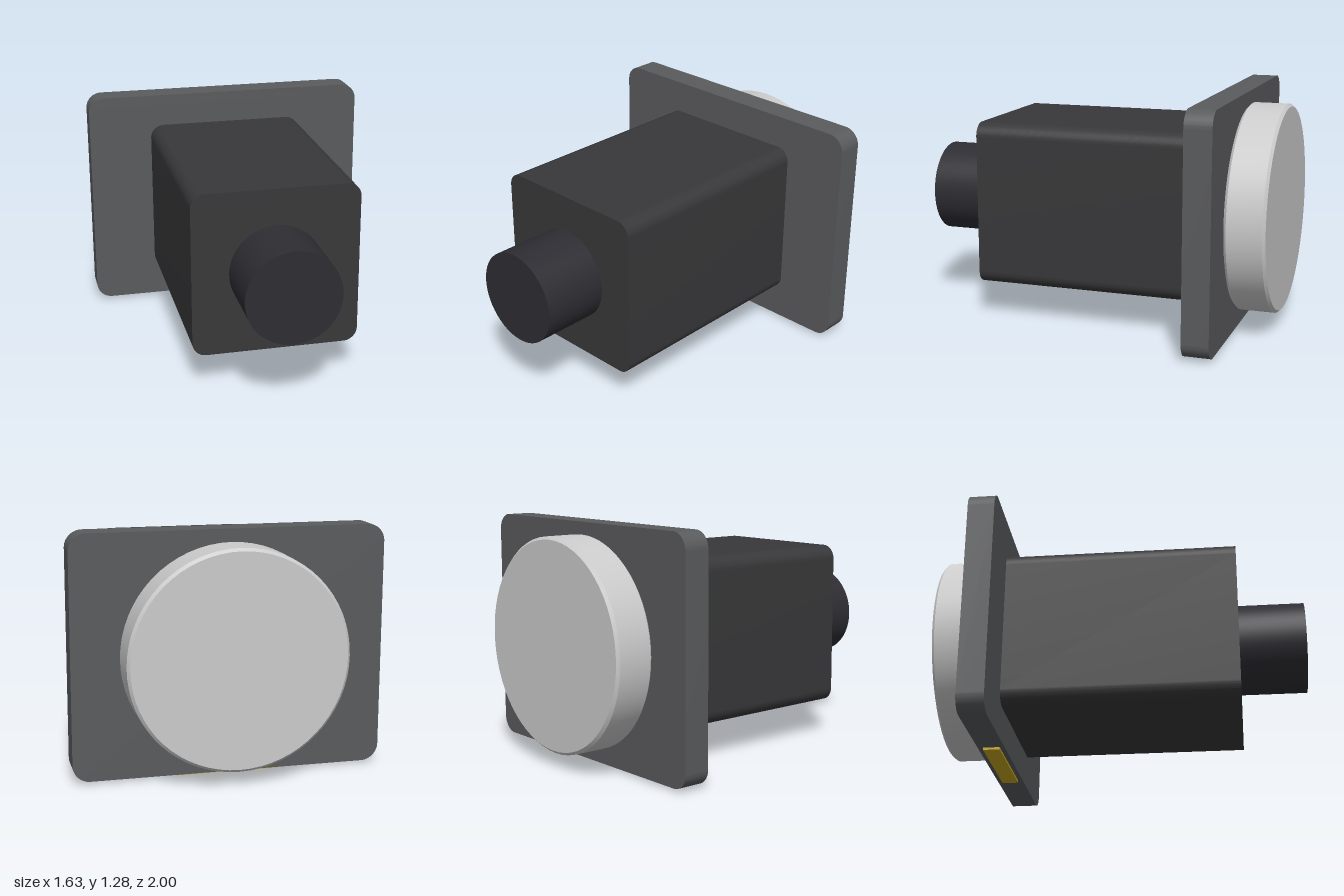
import * as THREE from 'three';
import { toCreasedNormals } from 'three/addons/utils/BufferGeometryUtils.js';

const AXIS_Y = 0.648; // height of the common axis

function part(name, geometry, color) {
  const mesh = new THREE.Mesh(
    toCreasedNormals(geometry, 0.6),
    new THREE.MeshStandardMaterial({ color })
  );
  mesh.name = name;
  return mesh;
}

// Rounded rectangle centred on the axis, extruded from z0 to z1
function roundedSlab(w, h, r, z0, z1) {
  const x = w / 2 - r, y = h / 2 - r;
  const shape = new THREE.Shape();
  shape.absarc(x, y, r, 0, Math.PI / 2);
  shape.absarc(-x, y, r, Math.PI / 2, Math.PI);
  shape.absarc(-x, -y, r, Math.PI, Math.PI * 1.5);
  shape.absarc(x, -y, r, Math.PI * 1.5, Math.PI * 2);
  shape.closePath();
  return new THREE.ExtrudeGeometry(shape, { depth: z1 - z0, bevelEnabled: false, curveSegments: 10 })
    .translate(0, AXIS_Y, z0);
}

// Solid of revolution about the z axis; profile of [radius, z], z rising
function turned(profile) {
  const points = profile.map(([r, z]) => new THREE.Vector2(r, z));
  return new THREE.LatheGeometry(points, 64).rotateX(Math.PI / 2).translate(0, AXIS_Y, 0);
}

export function createModel() {
  const model = new THREE.Group();
  model.name = 'flangedSensor';

  // Square housing and the mounting flange behind it
  model.add(part('housing', roundedSlab(0.906, 0.904, 0.075, -0.637, 0.634), 0x38383a));
  model.add(part('flange', roundedSlab(1.634, 1.27, 0.09, -0.782, -0.637), 0x5a5b5d));

  // Round stub on the front
  model.add(part('frontStub', turned([[0, 0.634], [0.253, 0.634], [0.253, 1], [0, 1]]), 0x2e2d33));

  // Rear disc with chamfered rims
  model.add(part('rearDisc', turned([
    [0, -1], [0.555, -1], [0.57, -0.985], [0.57, -0.797], [0.555, -0.782], [0, -0.782],
  ]), 0xcccccc));

  // Gold strip under the flange
  const strip = new THREE.BoxGeometry(0.545, 0.026, 0.09).translate(0, 0.013, -0.708);
  model.add(part('contactStrip', strip, 0xc8a820));

  return model;
}
